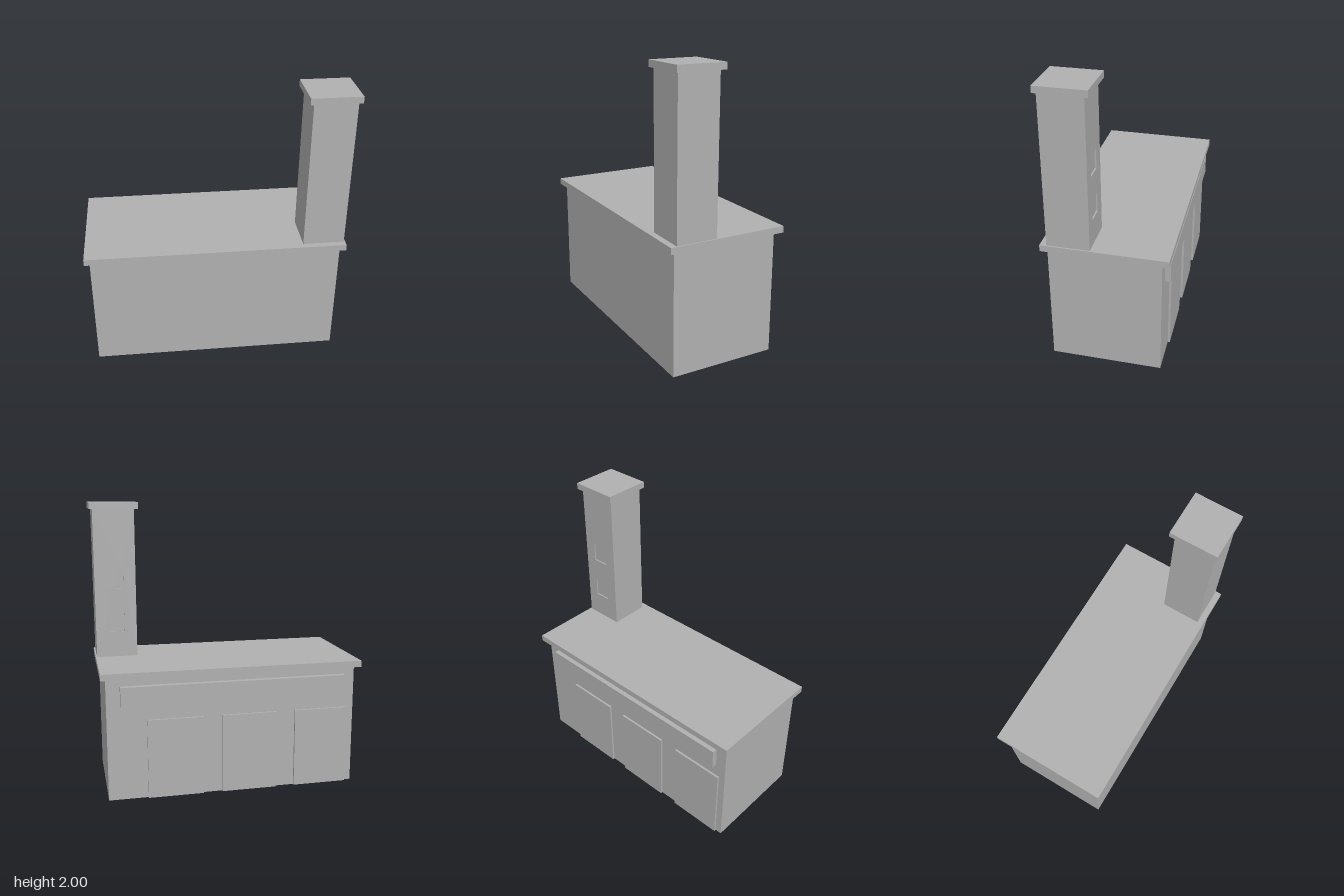
import * as THREE from 'three';

export function createModel() {
  const model = new THREE.Group();
  const grey = new THREE.MeshStandardMaterial({ color: 0xb0b0b0, side: THREE.DoubleSide });
  grey.name = 'plainGrey';

  function add(name, geometry) {
    const mesh = new THREE.Mesh(geometry, grey);
    mesh.name = name;
    model.add(mesh);
    return mesh;
  }

  // Box given by its extents; open leaves out the underside
  function box(name, [x0, x1], [y0, y1], [z0, z1], open = false) {
    const g = new THREE.BoxGeometry(x1 - x0, y1 - y0, z1 - z0);
    if (open) {
      const index = Array.from(g.index.array);
      index.splice(18, 6);
      g.setIndex(index);
      g.clearGroups();
    }
    g.translate((x0 + x1) / 2, (y0 + y1) / 2, (z0 + z1) / 2);
    return add(name, g);
  }

  // Hollow building shell and overhanging flat roof
  box('body', [-0.885, 0.87], [0, 0.86], [-0.375, 0.385], true);
  box('roof', [-0.92, 0.905], [0.86, 0.905], [-0.425, 0.425]);

  // Three doors and the long sign board on the back wall
  for (let i = 0; i < 3; i++) {
    const x = 0.403 - i * 0.523;
    box('door' + (i + 1), [x - 0.194, x + 0.194], [0, 0.56], [-0.39, -0.375], true);
  }
  box('signBoard', [-0.805, 0.775], [0.66, 0.805], [-0.415, -0.375], true);

  // Chimney, whose back skin has two shallow recesses
  box('chimney', [0.605, 0.895], [0.905, 1.955], [0.1, 0.38]);
  const rect = (Type, x0, x1, y0, y1) => new Type([
    new THREE.Vector2(x0, y0), new THREE.Vector2(x1, y0),
    new THREE.Vector2(x1, y1), new THREE.Vector2(x0, y1),
  ]);
  const skin = rect(THREE.Shape, 0.605, 0.895, 0.905, 1.955);
  for (const y of [1.085, 1.395]) {
    skin.holes.push(rect(THREE.Path, 0.692, 0.812, y, y + 0.135));
  }
  const skinGeometry = new THREE.ExtrudeGeometry(skin, { depth: 0.01, bevelEnabled: false });
  add('chimneyBackWall', skinGeometry.translate(0, 0, 0.09));
  box('chimneyCap', [0.578, 0.918], [1.955, 2], [0.06, 0.4]);

  return model;
}
